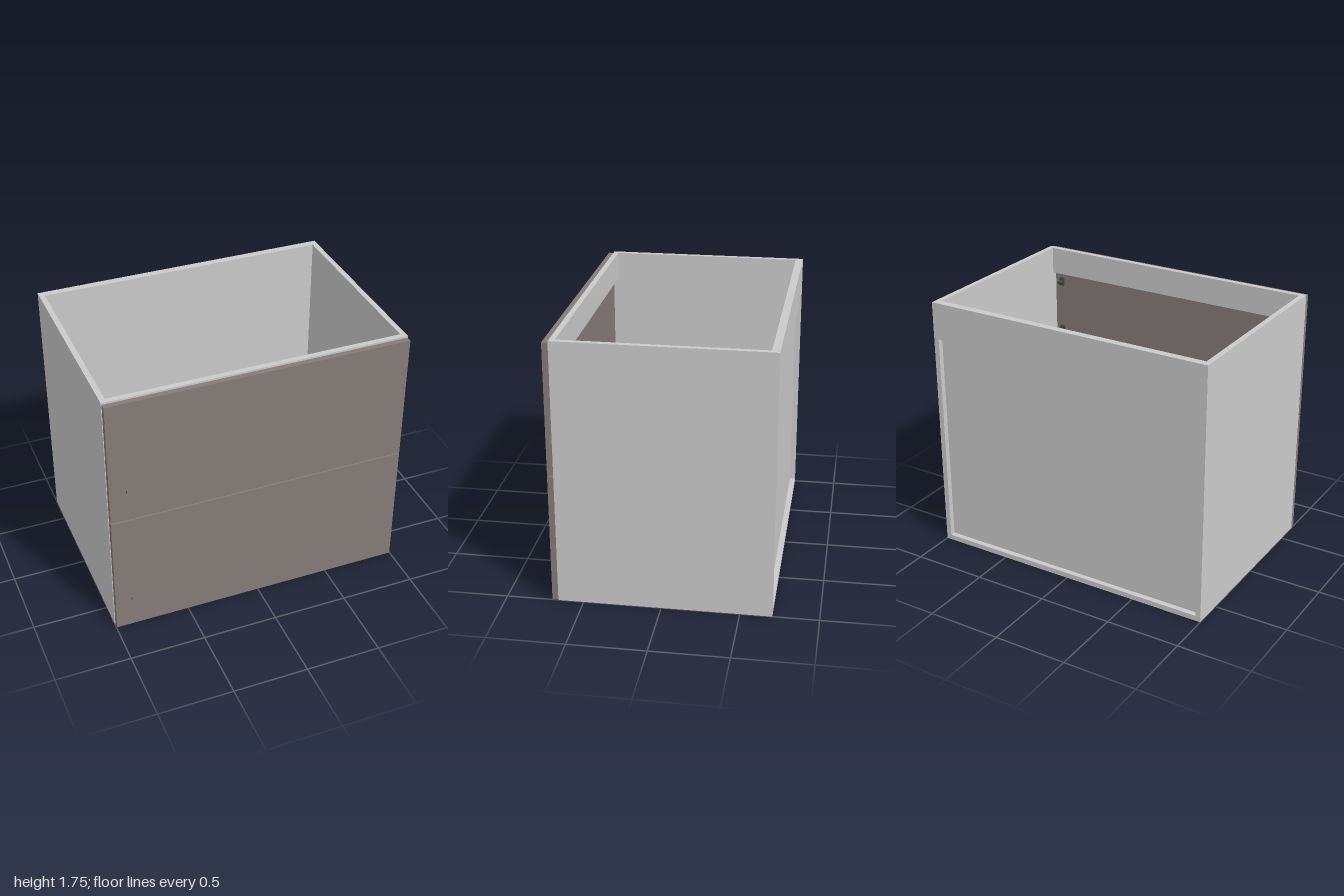
import * as THREE from 'three';

const mat = (name, color) => {
  const m = new THREE.MeshStandardMaterial({ color });
  m.name = name;
  return m;
};

export function createModel() {
  const carcassGrey = mat('carcass grey', 0xcacaca);
  const frontBrown = mat('drawer front taupe', 0x857b78);
  const darkMetal = mat('dark metal', 0x4a4646);

  const model = new THREE.Group();
  model.name = 'drawerCabinet';

  // Box given by its extents along each axis
  const box = (name, material, [x0, x1], [y0, y1], [z0, z1], parent = model) => {
    const mesh = new THREE.Mesh(new THREE.BoxGeometry(x1 - x0, y1 - y0, z1 - z0), material);
    mesh.position.set((x0 + x1) / 2, (y0 + y1) / 2, (z0 + z1) / 2);
    mesh.name = name;
    parent.add(mesh);
    return mesh;
  };

  const H = 1.75, T = 0.036, back = -0.705, front = 0.665;
  const inner = [-1 + T, 1 - T];

  // Open-topped carcass
  box('rightSide', carcassGrey, [-1, -1 + T], [0, H], [back, front]);
  box('leftSide', carcassGrey, [1 - T, 1], [0, H], [back, front]);
  box('bottom', carcassGrey, inner, [0, T], [back, front]);
  box('frontTopRail', carcassGrey, inner, [1.565, H], [front - T, front]);
  box('backTopRail', carcassGrey, inner, [1.5, H], [back, back + T]);
  // Thin back panel set in behind the rail
  box('backPanel', carcassGrey, inner, [T, H], [back + T, back + T + 0.014]);

  // Two drawer fronts with their small fittings
  [[0.003, 0.867], [0.876, 1.739]].forEach(([y0, y1], i) => {
    const drawer = new THREE.Group();
    drawer.name = i ? 'upperDrawer' : 'lowerDrawer';
    model.add(drawer);
    box('drawerFront', frontBrown, [-0.996, 0.996], [y0, y1], [front + 0.002, 0.705], drawer);
    box('frontPin', darkMetal, [-0.889, -0.883], [y0 + 0.21, y0 + 0.228], [0.704, 0.709], drawer);
    // Brackets on the inner face
    for (const y of [y0 + 0.25, y0 + 0.62]) {
      box('bracketPlate', darkMetal, [0.895, 0.93], [y - 0.03, y + 0.03], [0.655, 0.668], drawer);
      const stud = new THREE.Mesh(new THREE.CylinderGeometry(0.012, 0.012, 0.036, 16), darkMetal);
      stud.name = 'bracketStud';
      stud.rotation.x = Math.PI / 2;
      stud.position.set(0.912, y, 0.638);
      drawer.add(stud);
    }
  });

  return model;
}
